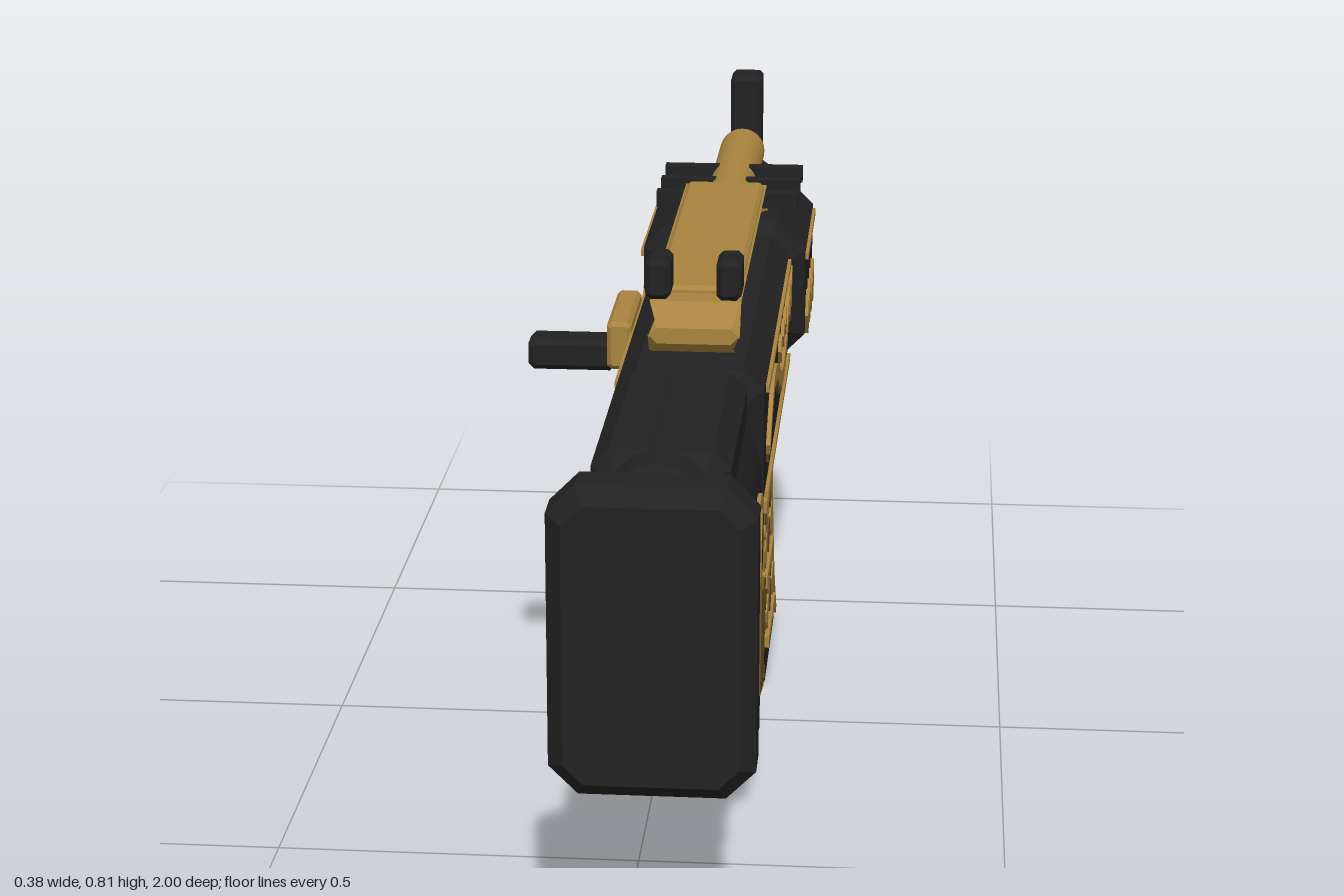
import * as THREE from 'three';

const CX = 0.06; // centre line of the body
const mat = (name, color) => Object.assign(new THREE.MeshStandardMaterial({ color }), { name });

export function createModel() {
  const root = new THREE.Group();
  const black = mat('black', 0x222223);
  const gold = mat('gold', 0xa9843f);
  const bronze = mat('bronze', 0x6a5128);

  function add(name, geo, material, x = 0, y = 0, z = 0, parent = root) {
    const m = new THREE.Mesh(geo, material);
    m.name = name;
    m.position.set(x, y, z);
    parent.add(m);
    return m;
  }

  // Box with every edge chamfered: c around the z axis, b at the two ends
  function chamferBox(w, h, d, c, b = c) {
    const X = w / 2 - b, Y = h / 2 - b, k = Math.max(c - b * 0.586, 0.002);
    const s = new THREE.Shape([
      [X - k, -Y], [X, -Y + k], [X, Y - k], [X - k, Y],
      [-X + k, Y], [-X, Y - k], [-X, -Y + k], [-X + k, -Y],
    ].map(p => new THREE.Vector2(...p)));
    const g = new THREE.ExtrudeGeometry(s, { depth: d - 2 * b, bevelEnabled: true, bevelSize: b, bevelThickness: b, bevelSegments: 1 });
    return g.translate(0, 0, b - d / 2);
  }
  // Chamfered box given by its y and z ranges
  const block = (name, m, w, y0, y1, z0, z1, c, b, x = CX) =>
    add(name, chamferBox(w, y1 - y0, z1 - z0, c, b), m, x, (y0 + y1) / 2, (z0 + z1) / 2);

  const rodZ = (name, m, r, y, z0, z1, seg = 24) =>
    add(name, new THREE.CylinderGeometry(r, r, z1 - z0, seg).rotateX(Math.PI / 2), m, CX, y, (z0 + z1) / 2);

  // Thin plate drawn in (z, y), laid on both sides at half width hw
  const vec = pts => pts.map(p => new THREE.Vector2(...p));
  function plates(name, m, hw, pts, hole) {
    const s = new THREE.Shape(vec(pts));
    if (hole) s.holes.push(new THREE.Path(vec(hole)));
    const g = new THREE.ExtrudeGeometry(s, { depth: 0.007, bevelEnabled: false }).rotateY(-Math.PI / 2);
    add(name + 'Left', g, m, CX + hw + 0.005, 0, 0);
    add(name + 'Right', g, m, CX - hw + 0.002, 0, 0);
  }
  // Outline of a ribbon that follows a smooth path
  function ribbon(path, width, n = 24, taper = 0) {
    const curve = new THREE.SplineCurve(vec(path)), a = [], b = [];
    for (let i = 0; i <= n; i++) {
      const t = i / n, p = curve.getPoint(t), d = curve.getTangent(t);
      const w = width / 2 * (1 - taper * (1 - t));
      a.push([p.x - d.y * w, p.y + d.x * w]);
      b.unshift([p.x + d.y * w, p.y - d.x * w]);
    }
    return a.concat(b);
  }
  const bar = (z0, z1, y, h) => [[z0, y - h / 2], [z1, y - h / 2], [z1, y + h / 2], [z0, y + h / 2]];
  const diamond = (z, y, w, h) => [[z - w, y], [z, y - h], [z + w, y], [z, y + h]];

  // Stock: oval body, cheek rest, butt plate and neck
  const oval = new THREE.LatheGeometry(vec([[0, 0], [0.9, 0], [0.9, 0], [1, 0.03], [1, 0.03], [1, 0.4], [1, 0.4], [0.9, 0.42], [0.9, 0.42], [0, 0.42]]), 32)
    .rotateX(Math.PI / 2).scale(0.107, 0.165, 1);
  add('stockBody', oval, black, CX, 0.55, 0.505);
  block('cheekRest', black, 0.17, 0.61, 0.713, 0.505, 0.87, 0.022);
  block('buttPlate', black, 0.25, 0.32, 0.713, 0.912, 1.0, 0.036, 0.02);
  rodZ('stockNeck', black, 0.07, 0.568, 0.39, 0.52);

  // Receiver and handguard
  block('receiver', black, 0.2, 0.46, 0.67, -0.38, 0.41, 0.028);
  block('handguard', black, 0.25, 0.465, 0.69, -0.65, -0.3, 0.045, 0.03);

  // Gold top cover with a raised panel
  block('topCover', gold, 0.185, 0.655, 0.737, -0.4, 0.315, 0.03);
  block('topCoverPanel', gold, 0.118, 0.72, 0.747, -0.35, 0.245, 0.006);

  // Barrel, upper tube and its ribs
  rodZ('barrel', black, 0.048, 0.582, -1, -0.6);
  rodZ('upperTube', gold, 0.037, 0.692, -0.785, -0.36);
  rodZ('upperTubeCap', black, 0.026, 0.692, -0.788, -0.78);
  for (let i = 0; i < 3; i++)
    add('rib', new THREE.BoxGeometry(0.22, 0.024, 0.022), black, CX, 0.708, -0.395 - i * 0.085);

  // Sights
  block('frontSight', black, 0.052, 0.61, 0.795, -0.95, -0.88, 0.006);
  for (const s of [-1, 1]) block('rearSight', black, 0.034, 0.75, 0.806, 0.265, 0.33, 0.007, 0.007, CX + s * 0.048);

  // Side handle on a gold plate
  add('handlePlate', chamferBox(0.035, 0.07, 0.175, 0.006), gold, -0.061, 0.62, 0.033);
  add('sideHandle', chamferBox(0.125, 0.046, 0.052, 0.008), black, -0.13, 0.602, 0.085);

  // Slanted grip with side panels
  const grip = new THREE.Group();
  grip.name = 'grip';
  grip.position.set(CX, 0.256, 0.272);
  grip.rotation.x = -0.235;
  root.add(grip);
  add('gripBody', chamferBox(0.18, 0.22, 0.37, 0.034, 0.03).rotateX(Math.PI / 2), black, 0, 0, 0, grip);
  for (const s of [-1, 1]) add('gripPanel', new THREE.BoxGeometry(0.008, 0.155, 0.1), bronze, s * 0.092, -0.01, 0, grip);

  // Finger bars
  for (let i = 0; i < 4; i++)
    add('fingerBar', new THREE.CylinderGeometry(0.01, 0.01, 0.184, 10).rotateZ(Math.PI / 2), gold, CX, 0.355 - i * 0.072, 0.145);

  // Trigger and its guard
  const tube = (name, m, r, pts) => add(name, new THREE.TubeGeometry(
    new THREE.CatmullRomCurve3(pts.map(([z, y]) => new THREE.Vector3(CX, y, z))), 20, r, 10), m);
  tube('trigger', gold, 0.011, [[0.045, 0.47], [0.04, 0.39], [0.06, 0.34], [0.1, 0.322]]);
  tube('triggerGuard', black, 0.015, [[0.18, 0.25], [0.13, 0.225], [0.07, 0.212], [0.0, 0.222], [-0.04, 0.24]]);

  // Curved magazine
  const rear = [[0.05, 0.47], [0.035, 0.34], [-0.013, 0.2], [-0.07, 0.1], [-0.147, 0]];
  const front = [[-0.228, 0.47], [-0.239, 0.34], [-0.292, 0.2], [-0.351, 0.1], [-0.42, 0]];
  const MW = 0.078;
  const magGeo = new THREE.ExtrudeGeometry(new THREE.Shape(vec([...rear, ...front.slice().reverse()])), { depth: MW * 2, bevelEnabled: false })
    .rotateY(-Math.PI / 2);
  add('magazine', magGeo, black, CX + MW, 0, 0);
  const inset = (edge, d) => edge.map(([z, y]) => [z + d, Math.min(0.455, y + (y === 0 ? 0.022 : 0))]);
  plates('magazineFrontTrim', gold, MW, ribbon(inset(front, 0.018), 0.014));
  plates('magazineRearTrim', gold, MW, ribbon(inset(rear.slice(0, 3), -0.012), 0.01));

  // Pointed scales in rows, with gold bars between
  const scale = (z, y) => [[-0.03, 0.012], [-0.018, 0.024], [0.018, 0.024], [0.03, 0.012], [0.022, -0.008], [0, -0.026], [-0.022, -0.008]]
    .map(([a, b]) => [z + a, y + b]);
  [[-0.02, 0.395], [-0.035, 0.302], [-0.065, 0.245], [-0.065, 0.178], [-0.13, 0.122]].forEach(([z, y], r) => {
    for (let i = 0; i < 3; i++) plates('scale', (i + r) % 2 ? bronze : gold, MW, scale(z - i * 0.072, y));
  });
  for (const [z, y, len] of [[-0.005, 0.338, 0.18], [-0.04, 0.205, 0.19], [-0.105, 0.083, 0.19]])
    plates('magazineBar', gold, MW + 0.003, bar(z - len, z, y, 0.018));

  // Receiver inlays: lines, diamonds and a winding serpent
  plates('upperLine', gold, 0.1, bar(-0.3, 0.345, 0.634, 0.01));
  plates('lowerLine', gold, 0.1, bar(-0.3, 0.345, 0.483, 0.01));
  const body = [[0.325, 0.54], [0.22, 0.597], [0.115, 0.588], [-0.02, 0.535], [-0.155, 0.548], [-0.22, 0.588], [-0.27, 0.597]];
  plates('serpentShade', bronze, 0.099, ribbon(body.map(([z, y]) => [z, y - 0.012]), 0.026, 36, 0.4));
  plates('serpentBody', gold, 0.101, ribbon(body, 0.03, 36, 0.4));
  plates('serpentHead', gold, 0.102, [[-0.22, 0.575], [-0.238, 0.617], [-0.262, 0.607], [-0.298, 0.63], [-0.292, 0.6],
    [-0.3, 0.562], [-0.27, 0.576], [-0.245, 0.556]]);
  for (const z of [-0.01, -0.09, -0.155]) plates('smallDiamond', gold, 0.1, diamond(z, 0.583, 0.018, 0.022));

  // Handguard inlays
  plates('handguardLine', gold, 0.125, bar(-0.61, -0.33, 0.635, 0.01));
  for (let i = 0; i < 4; i++) plates('handguardDiamond', gold, 0.125, diamond(-0.377 - i * 0.061, 0.534, 0.028, 0.036));

  // Stock inlay: horned head with an eye and a curling tail
  plates('stockHead', gold, 0.106, [[0.855, 0.497], [0.785, 0.52], [0.748, 0.572], [0.737, 0.535], [0.69, 0.55], [0.7, 0.515],
    [0.657, 0.49], [0.68, 0.445], [0.743, 0.465], [0.785, 0.44], [0.84, 0.457], [0.8, 0.478], [0.845, 0.48]],
  diamond(0.745, 0.5, 0.014, 0.01));
  plates('stockTail', gold, 0.105, ribbon([[0.7, 0.525], [0.646, 0.57], [0.585, 0.555], [0.603, 0.5], [0.587, 0.45], [0.54, 0.43]], 0.018, 30));

  return root;
}
